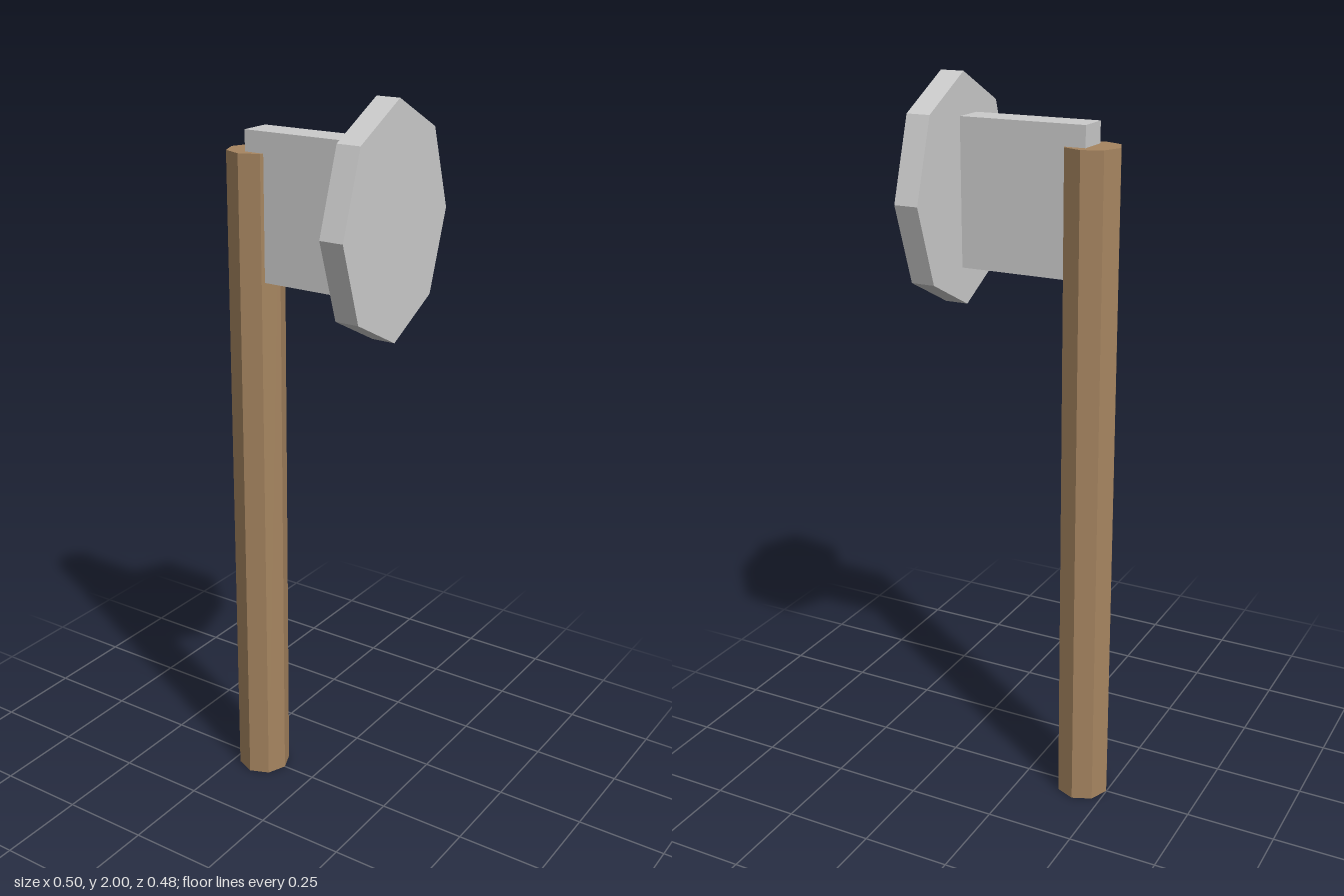
import * as THREE from 'three';

const mat = (color) => new THREE.MeshStandardMaterial({ color, flatShading: true });

export function createModel() {
  const group = new THREE.Group();
  const wood = mat(0xa68560);
  const metal = mat(0xcccccc);

  const add = (name, geometry, material, x, y, z = 0) => {
    const mesh = new THREE.Mesh(geometry, material);
    mesh.name = name;
    mesh.position.set(x, y, z);
    group.add(mesh);
  };

  // Octagonal wooden shaft
  add('handle', new THREE.CylinderGeometry(0.075, 0.075, 1.84, 8), wood, -0.174, 0.92);

  // Flat block set into the top of the shaft
  add('headBlock', new THREE.BoxGeometry(0.346, 0.386, 0.088), metal, -0.001, 1.702);

  // Tall octagonal striking plate, facing +x, with a small gap to the block
  const plate = new THREE.CylinderGeometry(1, 1, 0.065, 8)
    .rotateZ(-Math.PI / 2)
    .scale(1, 0.3, 0.242);
  add('strikingPlate', plate, metal, 0.2165, 1.7);

  return group;
}
